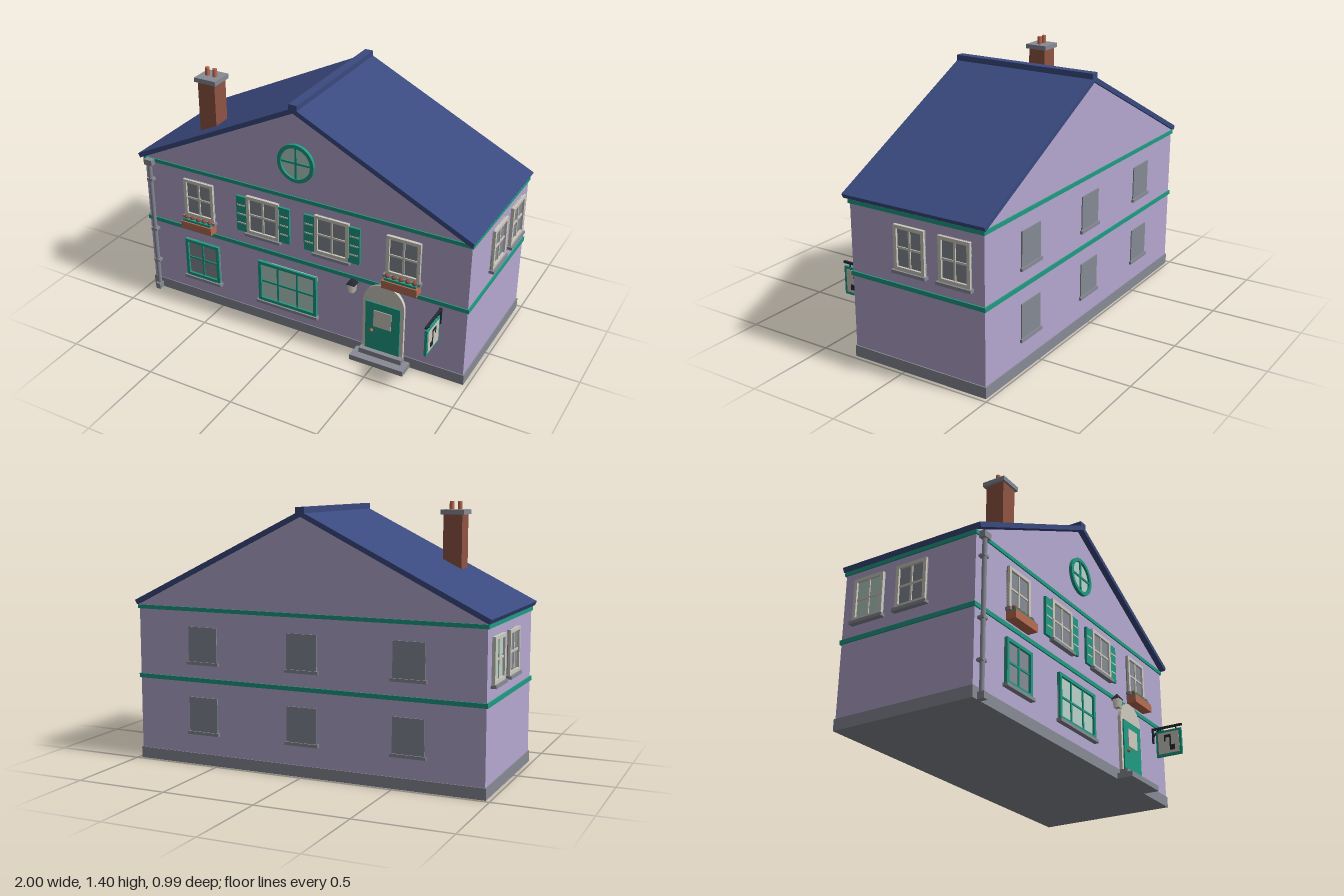
import * as THREE from 'three';

const mat = (name, color, extra = {}) => {
  const m = new THREE.MeshStandardMaterial({ color, ...extra });
  m.name = name;
  return m;
};
const wall = mat('lavender wall', 0xb5a8d0);
const slate = mat('blue roof', 0x3a4a80);
const teal = mat('teal trim', 0x209a83);
const stone = mat('grey stone', 0x888b95);
const glass = mat('grey glass', 0x858b95);
const mint = mat('lit glass', 0xb8d2ca);
const cream = mat('cream paint', 0xcecabf);
const brick = mat('chimney brick', 0x8f5443);
const clay = mat('terracotta', 0xb96c52);
const iron = mat('dark iron', 0x262a36);

const FRONT = 0.307, BACK = -0.48, SIDE = 0.972;

function add(parent, name, geo, material, x = 0, y = 0, z = 0) {
  const m = new THREE.Mesh(geo, material);
  m.name = name;
  m.position.set(x, y, z);
  parent.add(m);
  return m;
}
// box given by its limits on each axis
function block(parent, name, material, x0, x1, y0, y1, z0, z1) {
  return add(parent, name, new THREE.BoxGeometry(x1 - x0, y1 - y0, z1 - z0), material,
    (x0 + x1) / 2, (y0 + y1) / 2, (z0 + z1) / 2);
}
function group(parent, name, x = 0, y = 0, z = 0) {
  const g = new THREE.Group();
  g.name = name;
  g.position.set(x, y, z);
  parent.add(g);
  return g;
}
function extrude(points, z0, z1) {
  const shape = points instanceof THREE.Shape ? points
    : new THREE.Shape(points.map(([x, y]) => new THREE.Vector2(x, y)));
  return new THREE.ExtrudeGeometry(shape, { depth: z1 - z0, bevelEnabled: false, curveSegments: 24 })
    .translate(0, 0, z0);
}

// window facing +z, centred on its opening, with frame, glazing bars and sill
function windowUnit(parent, name, x, y, z, w, h, { frame, pane = glass, cols = 2, rows = 2, bar = 0.018 }) {
  const g = group(parent, name, x, y, z);
  const a = w / 2, b = h / 2;
  block(g, 'pane', pane, -a, a, -b, b, -0.002, 0.006);
  if (frame) {
    for (const s of [-1, 1]) {
      add(g, 'jamb', new THREE.BoxGeometry(bar, h, 0.018), frame, s * (a - bar / 2), 0, 0.009);
      add(g, 'rail', new THREE.BoxGeometry(w - 2 * bar, bar, 0.018), frame, 0, s * (b - bar / 2), 0.009);
    }
    for (let i = 1; i < cols; i++)
      add(g, 'upright bar', new THREE.BoxGeometry(0.011, h - 2 * bar, 0.012), frame, -a + (w * i) / cols, 0, 0.006);
    for (let i = 1; i < rows; i++)
      add(g, 'cross bar', new THREE.BoxGeometry(w - 2 * bar, 0.011, 0.011), frame, 0, -b + (h * i) / rows, 0.006);
  }
  const d = frame ? 0.028 : 0.013;
  block(g, 'sill', stone, -a - 0.01, a + 0.01, -b - 0.017, -b, 0, d);
  return g;
}

function shutter(parent, x) {
  const g = group(parent, 'shutter', x, 0.656, FRONT);
  block(g, 'panel', teal, -0.032, 0.032, -0.106, 0.106, 0, 0.014);
  for (const y of [-0.054, 0, 0.054]) block(g, 'slat', cream, -0.025, 0.025, y - 0.004, y + 0.004, 0.014, 0.017);
}

function flowerBox(parent, x) {
  const g = group(parent, 'flowerBox', x, 0, 0);
  block(g, 'planter', clay, -0.098, 0.098, 0.485, 0.53, FRONT, 0.363);
  block(g, 'leaves', teal, -0.09, 0.09, 0.53, 0.543, 0.317, 0.355);
  for (let i = -2; i <= 2; i++)
    add(g, 'flower', new THREE.IcosahedronGeometry(0.014, 1), brick, i * 0.038, 0.55, 0.338);
}

function buildShell(root) {
  block(root, 'plinth', stone, -0.978, 0.978, 0, 0.06, -0.485, 0.312);
  add(root, 'walls', extrude([[-SIDE, 0.06], [SIDE, 0.06], [SIDE, 0.85], [0, 1.335], [-SIDE, 0.85]], BACK, FRONT), wall);
  for (const [y0, y1] of [[0.447, 0.47], [0.825, 0.846]])
    block(root, 'trimBand', teal, -0.98, 0.98, y0, y1, -0.487, 0.314);
  // two roof slopes and the ridge
  for (const s of [1, -1]) {
    const p = [[0, 1.332], [0.981, 0.847], [0.993, 0.87], [0, 1.36]].map(([x, y]) => [s * x, y]);
    add(root, 'roofSlope', extrude(p, -0.494, 0.341), slate);
  }
  block(root, 'roofRidge', slate, -0.024, 0.024, 1.34, 1.378, -0.494, 0.341);
}

function buildChimney(root) {
  const g = group(root, 'chimney', -0.587, 0, 0.18);
  block(g, 'stack', brick, -0.052, 0.052, 0.95, 1.33, -0.052, 0.052);
  block(g, 'cap', stone, -0.065, 0.065, 1.33, 1.355, -0.065, 0.065);
  for (const s of [-1, 1])
    add(g, 'pot', new THREE.CylinderGeometry(0.012, 0.013, 0.045, 12), clay, s * 0.023, 1.376, 0);
}

function buildWindows(root) {
  for (const s of [-1, 1]) {
    windowUnit(root, 'outerUpperWindow', s * 0.617, 0.663, FRONT, 0.19, 0.226, { frame: cream });
    flowerBox(root, s * 0.617);
    windowUnit(root, 'innerUpperWindow', s * 0.208, 0.663, FRONT, 0.2, 0.226, { frame: cream });
    for (const t of [-1, 1]) shutter(root, s * 0.208 + t * 0.132);
    // gable-side windows
    for (const z of [-0.058, -0.32]) {
      const pane = s < 0 && z < -0.2 ? mint : glass;
      windowUnit(root, 'sideWindow', s * SIDE, 0.663, z, 0.181, 0.23, { frame: cream, pane }).rotation.y = s * Math.PI / 2;
    }
  }
  windowUnit(root, 'lowerWindow', -0.615, 0.273, FRONT, 0.222, 0.236, { frame: teal });
  windowUnit(root, 'shopWindow', -0.064, 0.265, FRONT, 0.362, 0.25, { frame: teal, pane: mint, cols: 3 });
  // plain rear windows
  for (const x of [-0.58, 0, 0.58])
    for (const y of [0.273, 0.65])
      windowUnit(root, 'rearWindow', x, y, BACK, 0.17, 0.185, {}).rotation.y = Math.PI;
  // round attic window
  const g = group(root, 'roundWindow', 0, 1.044, FRONT);
  const ring = new THREE.Shape().absarc(0, 0, 0.107, 0, Math.PI * 2);
  ring.holes.push(new THREE.Path().absarc(0, 0, 0.087, 0, Math.PI * 2, true));
  add(g, 'ring', extrude(ring, 0, 0.018), teal);
  add(g, 'pane', new THREE.CircleGeometry(0.09, 32), mint, 0, 0, 0.006);
  add(g, 'upright bar', new THREE.BoxGeometry(0.011, 0.176, 0.012), teal, 0, 0, 0.007);
  add(g, 'cross bar', new THREE.BoxGeometry(0.176, 0.011, 0.011), teal, 0, 0, 0.007);
}

function buildDoor(root) {
  const g = group(root, 'entrance', 0.518, 0, 0);
  const arch = new THREE.Shape().moveTo(-0.118, 0.06).lineTo(0.118, 0.06).lineTo(0.118, 0.352);
  arch.absarc(0, 0.352, 0.118, 0, Math.PI);
  add(g, 'surround', extrude(arch, FRONT, 0.325), cream);
  block(g, 'door', teal, -0.099, 0.099, 0.06, 0.355, 0.32, 0.332);
  block(g, 'doorPane', cream, -0.051, 0.051, 0.21, 0.312, 0.33, 0.336);
  add(g, 'doorKnob', new THREE.SphereGeometry(0.01, 12, 8), clay, -0.06, 0.182, 0.338);
  block(g, 'lowerStep', stone, -0.156, 0.156, 0, 0.03, 0.3, 0.402);
  block(g, 'upperStep', stone, -0.124, 0.124, 0.03, 0.06, 0.3, 0.358);
}

function buildDrainpipe(root) {
  const g = group(root, 'drainpipe', -0.93, 0, 0.327);
  add(g, 'pipe', new THREE.CylinderGeometry(0.012, 0.012, 0.8, 12), stone, 0, 0.42, 0);
  block(g, 'hopper', stone, -0.026, 0.026, 0.812, 0.845, -0.015, 0.018);
  block(g, 'shoe', stone, -0.015, 0.015, 0, 0.035, -0.015, 0.022);
  for (const y of [0.19, 0.4, 0.72]) block(g, 'bracket', stone, -0.019, 0.019, y - 0.007, y + 0.007, -0.02, 0.013);
}

function buildLantern(root) {
  const g = group(root, 'lantern', 0.342, 0, 0.338);
  add(g, 'lamp', new THREE.CylinderGeometry(0.028, 0.022, 0.05, 4).rotateY(Math.PI / 4), cream, 0, 0.415, 0);
  add(g, 'hood', new THREE.ConeGeometry(0.036, 0.035, 4).rotateY(Math.PI / 4), iron, 0, 0.457, 0);
  block(g, 'arm', iron, -0.006, 0.006, 0.44, 0.452, -0.031, 0);
}

function buildSign(root) {
  const g = group(root, 'hangingSign', 0.83, 0, 0);
  block(g, 'wallPlate', iron, -0.007, 0.007, 0.34, 0.432, FRONT, 0.316);
  block(g, 'arm', iron, -0.006, 0.006, 0.418, 0.43, FRONT, 0.494);
  const strut = add(g, 'strut', new THREE.BoxGeometry(0.008, 0.008, 0.06), iron, 0, 0.398, 0.33);
  strut.rotation.x = -Math.PI / 4;
  for (const z of [0.36, 0.455]) block(g, 'hanger', iron, -0.003, 0.003, 0.4, 0.42, z - 0.003, z + 0.003);
  block(g, 'board', teal, -0.007, 0.007, 0.25, 0.404, 0.332, 0.489);
  // cream panel and musical note on both faces
  for (const s of [-1, 1]) {
    const face = (name, m, y0, y1, z0, z1, d) => {
      const x = s * (0.006 + d / 2);
      block(g, name, m, x - d / 2, x + d / 2, y0, y1, z0, z1);
    };
    face('panel', cream, 0.264, 0.39, 0.346, 0.475, 0.003);
    face('noteHead', iron, 0.28, 0.311, 0.417, 0.448, 0.005);
    face('noteStem', iron, 0.295, 0.375, 0.417, 0.426, 0.005);
    face('noteBeam', iron, 0.359, 0.375, 0.384, 0.418, 0.005);
    face('noteFlag', iron, 0.336, 0.36, 0.384, 0.392, 0.005);
  }
}

export function createModel() {
  const root = new THREE.Group();
  root.name = 'house';
  buildShell(root);
  buildChimney(root);
  buildWindows(root);
  buildDoor(root);
  buildDrainpipe(root);
  buildLantern(root);
  buildSign(root);
  return root;
}
